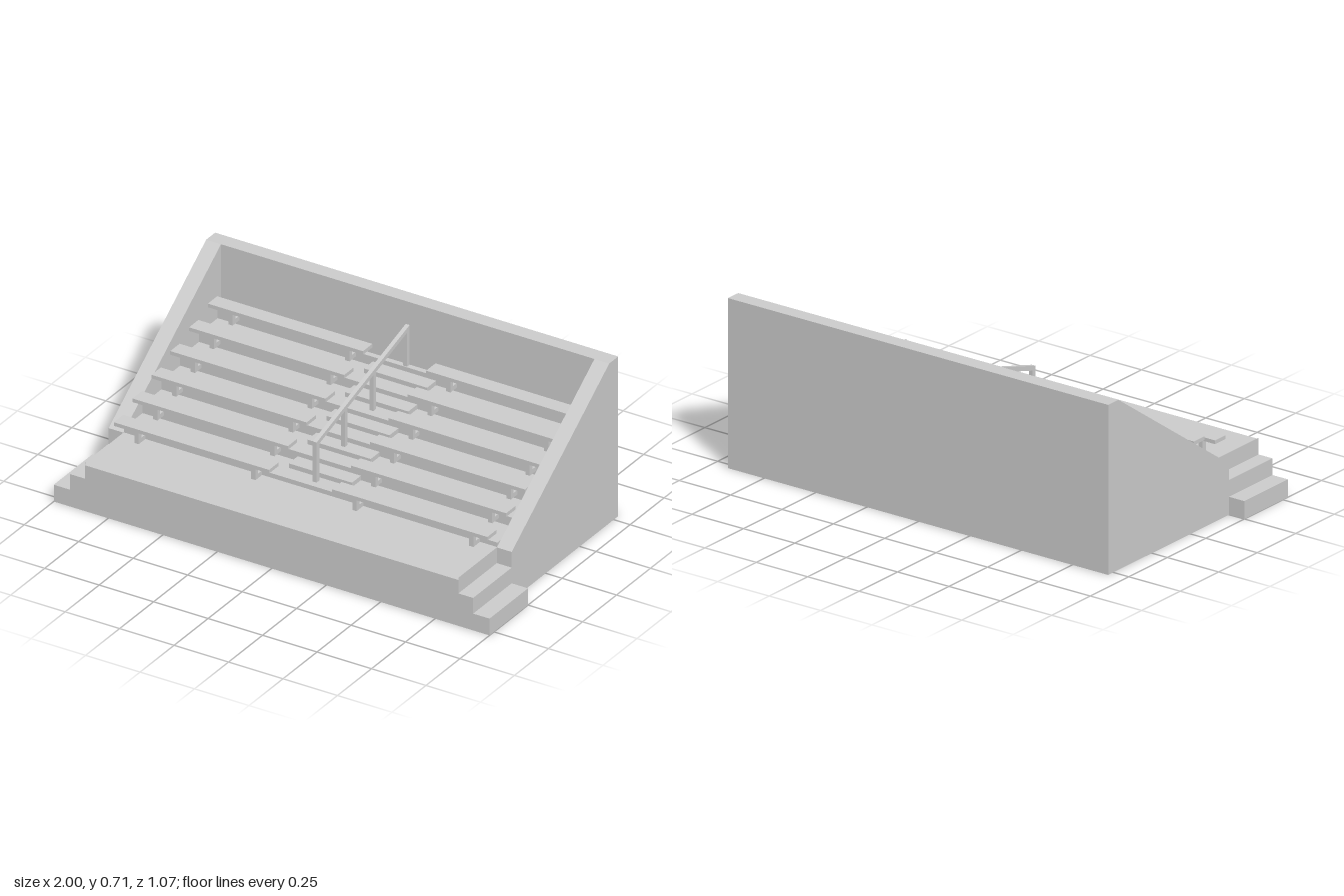
import * as THREE from 'three';

const grey = new THREE.MeshStandardMaterial({ color: 0xcccccc, flatShading: true });
const sheet = new THREE.MeshStandardMaterial({ color: 0xcccccc, flatShading: true, side: THREE.DoubleSide });

// Main dimensions
const INNER = 0.857, OUTER = 0.925, BACK = -0.533, BACK_IN = -0.467;
const FRONT = 0.533, WALL_FRONT = 0.25, DECK = 0.215, TOP = 0.714;
const ROWS = 6, PITCH = 0.138, RISE = 0.04, AISLE = 0.145;

// Box given by its limits on each axis
function box(name, [x0, x1], [y0, y1], [z0, z1]) {
  const mesh = new THREE.Mesh(new THREE.BoxGeometry(x1 - x0, y1 - y0, z1 - z0), grey);
  mesh.position.set((x0 + x1) / 2, (y0 + y1) / 2, (z0 + z1) / 2);
  mesh.name = name;
  return mesh;
}

// Thin flat panel from the corners of a convex polygon
function panel(name, corners) {
  const points = [];
  for (let i = 1; i < corners.length - 1; i++) points.push(...corners[0], ...corners[i], ...corners[i + 1]);
  const geometry = new THREE.BufferGeometry();
  geometry.setAttribute('position', new THREE.Float32BufferAttribute(points, 3));
  geometry.computeVertexNormals();
  const mesh = new THREE.Mesh(geometry, sheet);
  mesh.name = name;
  return mesh;
}

// Panel spanning the width between -x and +x along an edge from (y0, z0) to (y1, z1)
function span(name, x, [y0, z0], [y1, z1]) {
  return panel(name, [[-x, y0, z0], [x, y0, z0], [x, y1, z1], [-x, y1, z1]]);
}

// Hollow front platform with two side steps at each end
function buildPlatform() {
  const group = new THREE.Group();
  group.name = 'platform';
  const e = 0.01;
  group.add(
    span('platformTop', INNER, [DECK, BACK_IN], [DECK, FRONT - e]),
    span('platformEdge', INNER, [DECK, FRONT - e], [DECK - e, FRONT]),
    span('platformFront', INNER, [DECK - e, FRONT], [0.145, FRONT]),
    span('middleStepFront', OUTER, [0.145, FRONT], [0.075, FRONT]),
    span('lowerStepFront', 1, [0.075, FRONT], [0, FRONT])
  );
  for (const s of [-1, 1]) {
    const steps = [[INNER, DECK, 0.145, OUTER], [OUTER, 0.145, 0.075, 1], [1, 0.075, 0, 1]];
    for (const [x, high, low, end] of steps) {
      group.add(panel('stepRiser', [[s * x, high, WALL_FRONT], [s * x, high, FRONT], [s * x, low, FRONT], [s * x, low, WALL_FRONT]]));
      if (end > x) group.add(panel('stepTread', [[s * x, low, WALL_FRONT], [s * x, low, FRONT], [s * end, low, FRONT], [s * end, low, WALL_FRONT]]));
    }
    group.add(panel('stepBack', [[s * OUTER, 0, WALL_FRONT], [s, 0, WALL_FRONT], [s, 0.075, WALL_FRONT], [s * OUTER, 0.075, WALL_FRONT]]));
  }
  return group;
}

// Hollow back wall and sloping side walls
function buildWalls() {
  const group = new THREE.Group();
  group.name = 'walls';
  group.add(
    span('backWallOuter', OUTER, [0, BACK], [TOP, BACK]),
    span('backWallCap', OUTER, [TOP, BACK], [TOP, BACK_IN]),
    span('backWallInner', INNER, [TOP, BACK_IN], [DECK, BACK_IN]),
    span('backWallUnderside', INNER, [DECK, BACK_IN], [DECK, BACK])
  );
  for (const s of [-1, 1]) {
    const o = s * OUTER, i = s * INNER;
    group.add(
      panel('sideWallOuter', [[o, 0, BACK], [o, 0, WALL_FRONT], [o, DECK, WALL_FRONT], [o, TOP, BACK_IN], [o, TOP, BACK]]),
      panel('sideWallInner', [[i, DECK, WALL_FRONT], [i, TOP, BACK_IN], [i, DECK, BACK_IN]]),
      panel('sideWallSlope', [[i, DECK, WALL_FRONT], [o, DECK, WALL_FRONT], [o, TOP, BACK_IN], [i, TOP, BACK_IN]]),
      panel('sideWallFront', [[i, 0.145, WALL_FRONT], [o, 0.145, WALL_FRONT], [o, DECK, WALL_FRONT], [i, DECK, WALL_FRONT]])
    );
  }
  return group;
}

// Tiers with a bench on each side of the aisle
function buildRow(row) {
  const group = new THREE.Group();
  group.name = 'row';
  const z = 0.247 - row * PITCH, y = DECK + row * RISE;
  const below = row ? y - 0.02 : y;
  group.add(box('tier', [-INNER, INNER], [below, y + 0.02], [BACK_IN, z]));
  if (row) group.add(box('aisleStep', [-AISLE, AISLE], [below, y], [z, z + 0.066]));
  for (const s of [-1, 1]) {
    const mid = s * (AISLE + INNER) / 2, half = (INNER - AISLE) / 2;
    group.add(box('bench', [mid - half, mid + half], [y + 0.064, y + 0.08], [z + 0.004, z + 0.073]));
    for (const x of [0.232 * s, 0.768 * s]) {
      group.add(box('benchPost', [x - 0.01, x + 0.01], [y, y + 0.064], [z + 0.029, z + 0.049]));
      group.add(box('benchBracket', [x - 0.01, x + 0.01], [y, y + 0.02], [z, z + 0.029]));
    }
  }
  return group;
}

// Sloping handrail along the aisle
function buildHandrail() {
  const group = new THREE.Group();
  group.name = 'handrail';
  const z0 = 0.217, z1 = BACK_IN, y0 = 0.414, y1 = 0.612, w = 0.009;
  const shape = new THREE.Shape([[-z0, y0 - 0.02], [-z0, y0], [-z1, y1], [-z1, y1 - 0.02]].map(p => new THREE.Vector2(...p)));
  const geometry = new THREE.ExtrudeGeometry(shape, { depth: 2 * w, bevelEnabled: false });
  geometry.translate(0, 0, -w).rotateY(Math.PI / 2);
  const rail = new THREE.Mesh(geometry, grey);
  rail.name = 'rail';
  group.add(rail);
  for (const z of [0.207, 0, -0.21, -0.457]) {
    const tier = Math.max(0, Math.floor((0.247 - z) / PITCH));
    const top = y0 + (z0 - z) / (z0 - z1) * (y1 - y0) - 0.012;
    group.add(box('railPost', [-w, w], [DECK + 0.02 + tier * RISE, top], [z - 0.01, z + 0.01]));
  }
  return group;
}

export function createModel() {
  const model = new THREE.Group();
  model.name = 'grandstand';
  model.add(buildPlatform(), buildWalls(), buildHandrail());
  for (let row = 0; row < ROWS; row++) model.add(buildRow(row));
  return model;
}
